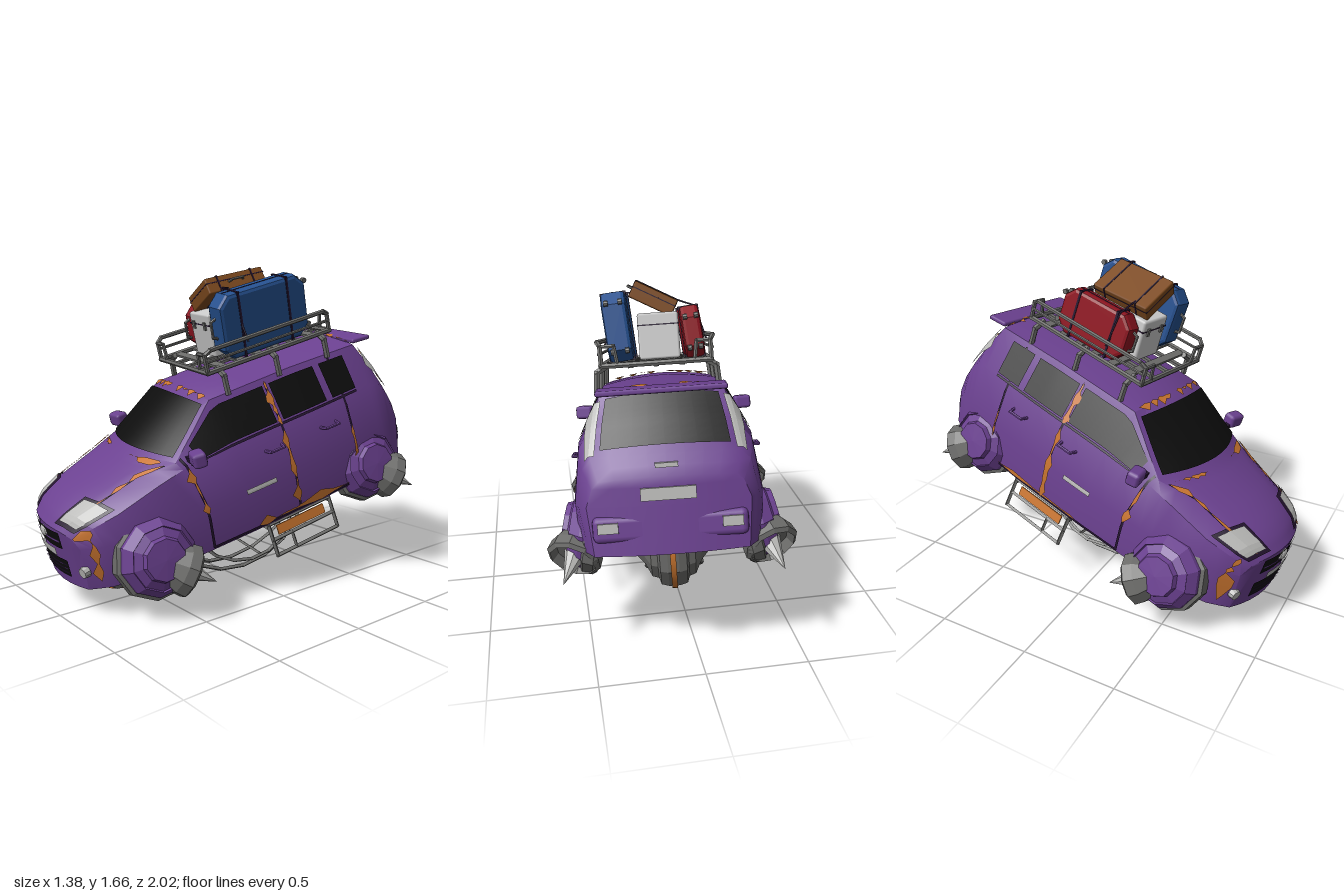
import * as THREE from 'three';
import { mergeGeometries, mergeVertices, toCreasedNormals } from 'three/addons/utils/BufferGeometryUtils.js';
import { RoundedBoxGeometry } from 'three/addons/geometries/RoundedBoxGeometry.js';

const V = (x, y, z) => new THREE.Vector3(x, y, z);
const { lerp, smoothstep } = THREE.MathUtils;
const mat = (color, o = {}) => new THREE.MeshStandardMaterial({ color, ...o });
const flat = { flatShading: true }, thin = { side: THREE.DoubleSide };
const PURPLE = mat(0x6b4190), PURPLE_FLAT = mat(0x6b4190, flat), SEAM = mat(0x24142f, thin), GLASS = mat(0x0d0d0d, thin);
const METAL = mat(0x6c6c6a, flat), FLOOR = mat(0x3c3c3b), LIGHT = mat(0xb8b8b6, { ...flat, ...thin }), RUST = mat(0xc8742f, thin);

// Body stations: z, sill w, mid w, belt w, belt y, roof-edge w, roof-edge y, centre y
const ST = [
  [-1.04, .34, .36, .33, .3, .3, .33, .345], [-.99, .37, .4, .37, .38, .33, .42, .435],
  [-.93, .41, .42, .385, .46, .31, .55, .575], [-.85, .42, .43, .39, .48, .28, .69, .715],
  [-.4, .44, .45, .4, .47, .29, .7, .735], [.116, .44, .45, .4, .46, .285, .685, .715],
  [.464, .43, .44, .39, .44, .36, .475, .505], [.6, .42, .435, .385, .41, .29, .445, .462],
  [.8, .39, .41, .36, .345, .27, .385, .405], [.9, .34, .36, .32, .31, .24, .345, .358],
  [.96, .27, .29, .25, .27, .18, .292, .303]];
const ZA = ST[0][0], ZB = ST[10][0];
const bow = (z, x) => z - (.8 * smoothstep(z, -.2, .45) - .3 * smoothstep(-z, .6, 1)) * x * x;

// Point on the shell: s = 0 left sill, 2 belt, 3 roof edge, 5 centre line, 10 right sill
function P(z, s) {
  z = Math.min(ZB, Math.max(ZA, z));
  let i = 0;
  while (i < ST.length - 2 && z > ST[i + 1][0]) i++;
  const t = (z - ST[i][0]) / (ST[i + 1][0] - ST[i][0]);
  const [, w0, w1, w2, y2, w3, y3, y5] = ST[i].map((a, k) => lerp(a, ST[i + 1][k], t));
  const sg = s <= 5 ? 1 : -1, q = Math.max(0, s <= 5 ? s : 10 - s);
  let x, y;
  if (q >= 3) { const u = (5 - q) / 2; x = w3 * u; y = y3 + (y5 - y3) * (1 - u * u); }
  else {
    const w = [w0, w1, w2, w3], h = [0, .22, y2, y3], k = Math.floor(q);
    x = lerp(w[k], w[k + 1], q - k); y = lerp(h[k], h[k + 1], q - k);
  }
  return V(x * sg, y, bow(z, x));
}
function onShell(z, s, off) {
  const e = .004, ds = P(z, s + e).sub(P(z, s - e)), dz = P(z + e, s).sub(P(z - e, s));
  return P(z, s).addScaledVector(ds.cross(dz).normalize(), off);
}
// Grid surface from f(u, v); it faces du x dv
function patch(f, us, vs) {
  const pos = [], idx = [], n = vs.length;
  us.forEach(u => vs.forEach(v => pos.push(...f(u, v).toArray())));
  for (let i = 0; i < us.length - 1; i++) for (let j = 0; j < n - 1; j++) {
    const a = i * n + j, b = a + n;
    idx.push(a, b, b + 1, a, b + 1, a + 1);
  }
  const g = new THREE.BufferGeometry();
  g.setAttribute('position', new THREE.Float32BufferAttribute(pos, 3));
  g.setIndex(idx); g.computeVertexNormals();
  return g;
}
const steps = (a, b, n) => Array.from({ length: n + 1 }, (_, i) => a + (b - a) * i / n);
// Chain of straight bars through points
function bars(pts, r, sides = 6) {
  return mergeGeometries(pts.slice(1).map((p, i) => {
    const d = p.clone().sub(pts[i]), g = new THREE.CylinderGeometry(r, r, d.length() + r, sides);
    g.applyQuaternion(new THREE.Quaternion().setFromUnitVectors(V(0, 1, 0), d.normalize()));
    return g.translate(...p.clone().add(pts[i]).multiplyScalar(.5).toArray());
  }));
}

export function createModel() {
  const car = new THREE.Group(); car.name = 'hoverCar';
  const add = (name, g, m, p, r, parent = car) => {
    const o = new THREE.Mesh(g, m); o.name = name;
    if (p) o.position.set(...p);
    if (r) o.rotation.set(...r);
    parent.add(o); return o;
  };
  const box = (name, m, size, p, r, parent) => add(name, new THREE.BoxGeometry(...size), m, p, r, parent);
  let seed = 7;
  const rnd = () => (seed = (seed * 16807) % 2147483647) / 2147483647;
  const panel = (name, m, z0, z1, s0, s1, off = .008, n = 8) =>
    add(name, patch((s, z) => onShell(z, s, off), steps(s0, s1, n), steps(z0, z1, n)), m);
  const both = (name, m, z0, z1, s0, s1, off, n) => {
    panel(name, m, z0, z1, s0, s1, off, n); panel(name, m, z0, z1, 10 - s1, 10 - s0, off, n);
  };
  // Jagged chipped paint along a line on the shell
  const chip = (z0, s0, z1, s1, wz, ws) => [0, 1].forEach(side => {
    const w = steps(0, 1, 9).map((_, i) => i % 9 ? rnd() ** 2 : 0);
    add('chippedPaint', patch((u, v) => {
      const k = (v - .3) * w[Math.round(u * 9)], s = lerp(s0, s1, u) + ws * k;
      return onShell(lerp(z0, z1, u) + wz * k, side ? 10 - s : s, .011);
    }, steps(0, 1, 9), [0, 1]), RUST);
  });

  // Shell, end caps and floor
  const zs = ST.flatMap((a, i) => i < 10 ? [a[0], (a[0] + ST[i + 1][0]) / 2] : [a[0]]);
  const cap = (z, d) => patch((u, v) => {
    const p = P(z, v * 3), x = u * d * p.x, top = v === 1 ? P(z, 5).y - p.y : 0;
    return V(x, p.y + top * (1 - u * u), bow(z, x));
  }, steps(-1, 1, 8), steps(0, 1, 3));
  const shell = mergeGeometries([
    patch((s, z) => P(z, s), [0, 1, 2, ...steps(3, 7, 8), 8, 9, 10], zs), cap(ZB, 1), cap(ZA, -1)]);
  shell.deleteAttribute('normal');
  add('bodyShell', toCreasedNormals(mergeVertices(shell), .55), PURPLE);
  add('floor', patch((u, z) => { const p = P(z, 0); return V(u * p.x, 0, bow(z, u * p.x)); }, steps(-1, 1, 8), zs), FLOOR);

  // Glass and lamps on the shell
  panel('windshield', GLASS, .15, .445, 3.12, 6.88, .01, 10);
  panel('rearWindow', GLASS, -.975, -.865, 3.25, 6.75, .008);
  both('frontSideWindow', GLASS, -.21, .36, 2.08, 2.86);
  both('rearSideWindow', GLASS, -.53, -.25, 2.08, 2.86);
  both('quarterWindow', GLASS, -.74, -.57, 2.08, 2.86);
  both('headlightFrame', SEAM, .79, .94, 2.25, 3.75, .01);
  both('headlight', LIGHT, .805, .925, 2.4, 3.6, .016);
  both('tailLight', LIGHT, -.985, -.87, 2.55, 3.12, .014);

  // Door and hood seams with worn paint
  for (const z of [.44, -.23, -.64]) both('doorSeam', SEAM, z - .007, z + .007, .05, 2.9, .007);
  both('sillSeam', SEAM, -.64, .44, .04, .1, .007);
  both('hoodSeam', SEAM, .5, .93, 3.0, 3.05, .007);
  both('beltSeam', SEAM, -.74, .42, 2.0, 2.05, .007);
  both('scrape', LIGHT, -.1, .16, .98, 1.07, .012, 3);
  chip(-.23, .05, -.23, 1.9, .07, 0); chip(-.23, 2, -.23, 2.95, .05, 0); chip(.44, .9, .44, 2, .06, 0);
  chip(.1, .12, -.6, .12, 0, .3); chip(-.64, .3, -.64, 1.4, .05, 0);
  chip(.5, 3.03, .93, 3.03, 0, .3); chip(.49, 3.2, .49, 4.4, .05, 0); chip(.11, 3.2, .11, 4.8, .05, 0);
  chip(-.84, 3.2, -.84, 4.6, .07, 0); chip(-.98, 3, -.86, 2.9, 0, .2); chip(.92, .2, .92, 2.2, .05, 0);

  // Nose: grilles, plate, badge oval and fog lamps
  const nose = (name, m, hw, y0, y1, off) => add(name, patch((x, y) => V(x, y, bow(ZB, x) + off), steps(-hw, hw, 6), [y0, y1]), m);
  nose('upperGrille', GLASS, .17, .2, .287, .006);
  nose('lowerGrille', GLASS, .18, .05, .14, .006);
  nose('grilleBar', PURPLE, .17, .236, .25, .012);
  for (const y of [.07, .092, .114]) nose('lowerGrilleBar', PURPLE, .18, y, y + .007, .012);
  nose('frontPlate', LIGHT, .115, .155, .195, .014);
  add('noseOval', new THREE.SphereGeometry(.045, 12, 8), LIGHT, [0, .252, .962]).scale.set(1, .65, .4);
  for (const s of [1, -1]) add('fogLamp', new THREE.CylinderGeometry(.026, .03, .03, 10), LIGHT, [s * .28, .1, .9], [Math.PI / 2, 0, s * -.3]);

  // Tail: spoiler, bumper, plate and lamps
  add('spoiler', new RoundedBoxGeometry(.58, .025, .12, 1, .01), PURPLE, [0, .705, -.89], [-.06, 0, 0]);
  add('rearBumper', new RoundedBoxGeometry(.68, .12, .1, 2, .03), PURPLE, [0, .12, -.985]);
  box('rearPlate', LIGHT, [.24, .055, .02], [0, .27, -1.04]);
  box('hatchHandle', LIGHT, [.1, .02, .02], [0, .39, -1.02]);
  for (const s of [1, -1]) box('bumperLamp', LIGHT, [.09, .045, .03], [s * .27, .13, -1.028]);

  for (const s of [1, -1]) {
    // Mirrors and door handles
    add('mirror', new RoundedBoxGeometry(.1, .075, .07, 1, .018), PURPLE, [s * .465, .5, .29], [0, s * -.2, 0]);
    box('mirrorArm', SEAM, [.08, .025, .03], [s * .4, .475, .29]);
    for (const z of [-.15, -.5]) {
      const at = (dz, o) => V(s * (.435 + o), .375, z + dz);
      add('doorHandle', bars([at(-.05, -.02), at(-.04, .02), at(.04, .02), at(.05, -.02)], .008), PURPLE_FLAT);
    }
    // Hover pods with thrust nozzles
    for (const [name, x, y, z] of [['frontPod', .45, .1, .585], ['rearPod', .415, .07, -.72]]) {
      const pod = new THREE.Group(); pod.name = name; pod.position.set(s * x, y, z); car.add(pod);
      const lathe = pts => new THREE.LatheGeometry(pts.map(p => new THREE.Vector2(...p)), 10);
      const tilt = [0, 0, -s * (Math.PI / 2 - .22)];
      add('wheelCover', lathe([[.2, -.1], [.19, .0], [.155, .05], [.15, .04], [.11, .06], [.1, .085], [0, .09]]), PURPLE_FLAT, null, tilt, pod);
      add('podRim', lathe([[0, -.1], [.2, -.1], [.215, -.08], [.21, -.03], [.19, -.02]]), METAL, null, tilt, pod);
      const jet = new THREE.Group(); jet.name = 'thruster'; pod.add(jet);
      jet.position.set(s * .03, -.1, -.1);
      jet.quaternion.setFromUnitVectors(V(0, 1, 0), V(s * .3, -.62, -.72).normalize());
      add('nozzle', lathe([[0, -.13], [.08, -.12], [.125, -.02], [.13, .03], [.11, .045], [.095, .0], [0, 0]]), METAL, null, null, jet);
      add('thrustCone', new THREE.ConeGeometry(.055, .17, 8), LIGHT, [0, .085, 0], null, jet);
      add('podAxle', bars([V(s * .1, .0, z), V(s * (x - .03), .0, z)], .055, 8), METAL);
    }
    // Side step frame under the sill
    const c = (k, y, z) => V(s * k, y, z);
    add('sideStep', mergeGeometries([
      bars([c(.43, -.01, -.03), c(.47, -.17, -.03), c(.47, -.17, -.42), c(.43, -.01, -.42), c(.43, -.01, -.03)], .011, 4),
      bars([c(.45, -.09, -.03), c(.45, -.09, -.42)], .011, 4), bars([c(.45, -.09, -.15), c(.47, -.17, -.15)], .009, 4),
      bars([c(.43, -.03, -.03), c(.2, -.03, -.03), c(.2, -.03, -.42), c(.43, -.03, -.42)], .011, 4)]), METAL);
    box('stepPlate', RUST, [.008, .05, .3], [s * .442, -.05, -.22], [0, 0, s * .25]);
  }

  // Central hover drums and spine beam
  const prof = [[0, -.17], [.1, -.165], [.14, -.13], [.2, -.1], [.21, -.07], [.24, -.06], [.25, -.025], [.25, .025],
    [.24, .06], [.21, .07], [.2, .1], [.14, .13], [.1, .165], [0, .17]].map(p => new THREE.Vector2(...p));
  for (const z of [.59, -.755]) {
    add('hoverDrum', new THREE.LatheGeometry(prof, 12), METAL, [0, .02, z], [0, 0, Math.PI / 2]);
    add('drumStripe', new THREE.CylinderGeometry(.258, .258, .025, 12, 1, true, Math.PI, Math.PI), RUST, [.0, .02, z], [0, 0, Math.PI / 2]);
  }
  box('spineBeam', METAL, [.13, .1, 1.0], [0, -.05, -.08]);
  // Cradle hoops below the spine
  for (const [x, rz, d] of [[-.05, .43, .33], [.05, .43, .33], [-.11, .32, .26], [.11, .32, .26]])
    add('cradleHoop', bars(steps(0, Math.PI, 9).map(a => V(x * (.3 + 1.1 * Math.sin(a)), -.07 - d * Math.sin(a), -.1 + rz * Math.cos(a))), .011, 4), METAL);
  add('hoopTie', bars([V(-.15, -.32, -.1), V(.15, -.32, -.1)], .009, 4), METAL);

  // Roof rack
  const rack = new THREE.Group(); rack.name = 'roofRack'; rack.position.set(.015, 0, 0); car.add(rack);
  const R = (x, y, z) => V(x * .255, y, z), zf = .05, zr = -.7;
  const rail = (name, pts, r = .012) => add(name, bars(pts, r), METAL, null, null, rack);
  rail('baseFrame', [R(-1, .81, zf), R(1, .81, zf), R(1, .81, zr), R(-1, .81, zr), R(-1, .81, zf)], .014);
  for (const s of [1, -1]) {
    rail('sideRail', [R(s, .81, zf), R(s, .9, zf), R(s * 1.05, .92, zf - .03), R(s * 1.05, .92, zr + .03), R(s, .9, zr), R(s, .81, zr)]);
    rail('midRail', [R(s * 1.03, .865, zf), R(s * 1.03, .865, zr)], .008);
    rail('cornerLoop', [R(s, .9, zf), R(s * .75, .9, zf), R(s * .7, .81, zf)], .01);
    rail('cornerLoop', [R(s, .9, zr), R(s * .75, .9, zr), R(s * .7, .81, zr)], .01);
    for (const z of [-.02, -.33, -.64]) rail('rackLeg', [R(s * .9, .81, z), R(s * 1.1, .78, z), R(s * 1.13, .69, z)], .016);
  }
  for (const z of steps(-.6, -.05, 5)) box('rackSlat', METAL, [.5, .012, .045], [0, .81, z], null, rack);
  for (const x of [-.12, 0, .12]) box('rackRunner', METAL, [.025, .014, .74], [x, .8, -.325], null, rack);

  // Luggage
  const RED = mat(0x8e1420), BLUE = mat(0x25508f), BROWN = mat(0x7d4a1e), GREY = mat(0xcccccc);
  const suitcase = (name, m, [w, h, d], p, r) => {
    const g = new THREE.Group(); g.name = name; g.position.set(...p); g.rotation.set(...r); car.add(g);
    const slab = new THREE.Shape(), a = d / 2 - .02, b = h / 2 - .02, c = .045;
    [[-a + c, -b], [a - c, -b], [a, -b + c], [a, b - c], [a - c, b], [-a + c, b], [-a, b - c], [-a, -b + c]]
      .forEach((q, i) => i ? slab.lineTo(...q) : slab.moveTo(...q));
    const e = new THREE.ExtrudeGeometry(slab, { depth: w - .04, bevelSize: .02, bevelThickness: .02, bevelSegments: 2 });
    add('case', e.translate(0, 0, -(w - .04) / 2).rotateY(Math.PI / 2), m, null, null, g);
    box('lidSeam', SEAM, [.006, h + .004, d - .12], [0, 0, 0], null, g);
    for (const z of [-d * .28, d * .28]) box('strap', SEAM, [w + .006, h + .006, .012], [0, 0, z], null, g);
    add('grip', bars([V(0, -.05, d / 2), V(0, -.04, d / 2 + .025), V(0, .04, d / 2 + .025), V(0, .05, d / 2)], .008), METAL, null, null, g);
    for (const y of [-1, 1]) for (const x of [-1, 1])
      add('caster', new THREE.CylinderGeometry(.014, .014, .02, 8), METAL, [x * w * .28, y * (h / 2 - .05), -d / 2 - .008], [0, 0, Math.PI / 2], g);
  };
  suitcase('blueSuitcase', BLUE, [.12, .33, .52], [.19, .985, -.345], [0, 0, -.08]);
  suitcase('redSuitcase', RED, [.095, .25, .43], [-.165, .94, -.335], [0, .02, -.1]);
  add('greyTrunk', new RoundedBoxGeometry(.2, .225, .4, 1, .012), GREY, [-.005, .93, -.3]);
  box('trunkSeam', SEAM, [.204, .006, .404], [-.005, .985, -.3]);
  for (const x of [-.06, .05]) box('trunkLatch', METAL, [.02, .04, .012], [x, .98, -.098]);
  const top = new THREE.Group(); top.name = 'brownSuitcase'; top.position.set(.01, 1.12, -.29); top.rotation.set(-.06, 0, .5); car.add(top);
  add('case', new RoundedBoxGeometry(.23, .085, .34, 1, .008), BROWN, null, null, top);
  box('lidSeam', SEAM, [.233, .005, .343], [0, .012, 0], null, top);
  for (const z of [-.1, .1]) box('strap', SEAM, [.235, .09, .008], [0, 0, z], null, top);
  add('grip', bars([V(.115, 0, -.04), V(.14, 0, -.03), V(.14, 0, .03), V(.115, 0, .04)], .007), METAL, null, null, top);
  add('tieRope', bars([V(-.25, .9, -.2), V(-.2, 1.07, -.2), V(.0, 1.15, -.2), V(.18, 1.16, -.2), V(.28, .9, -.2)], .005), SEAM);

  // Tilted flight pose, then set on the ground and centred
  car.rotation.set(.26, -.165, -.067, 'YXZ');
  const model = new THREE.Group(); model.name = 'hoverCarModel'; model.add(car);
  model.updateMatrixWorld(true);
  const b = new THREE.Box3().setFromObject(model, true), c = b.getCenter(V());
  car.position.set(-c.x, -b.min.y, -c.z);
  return model;
}
